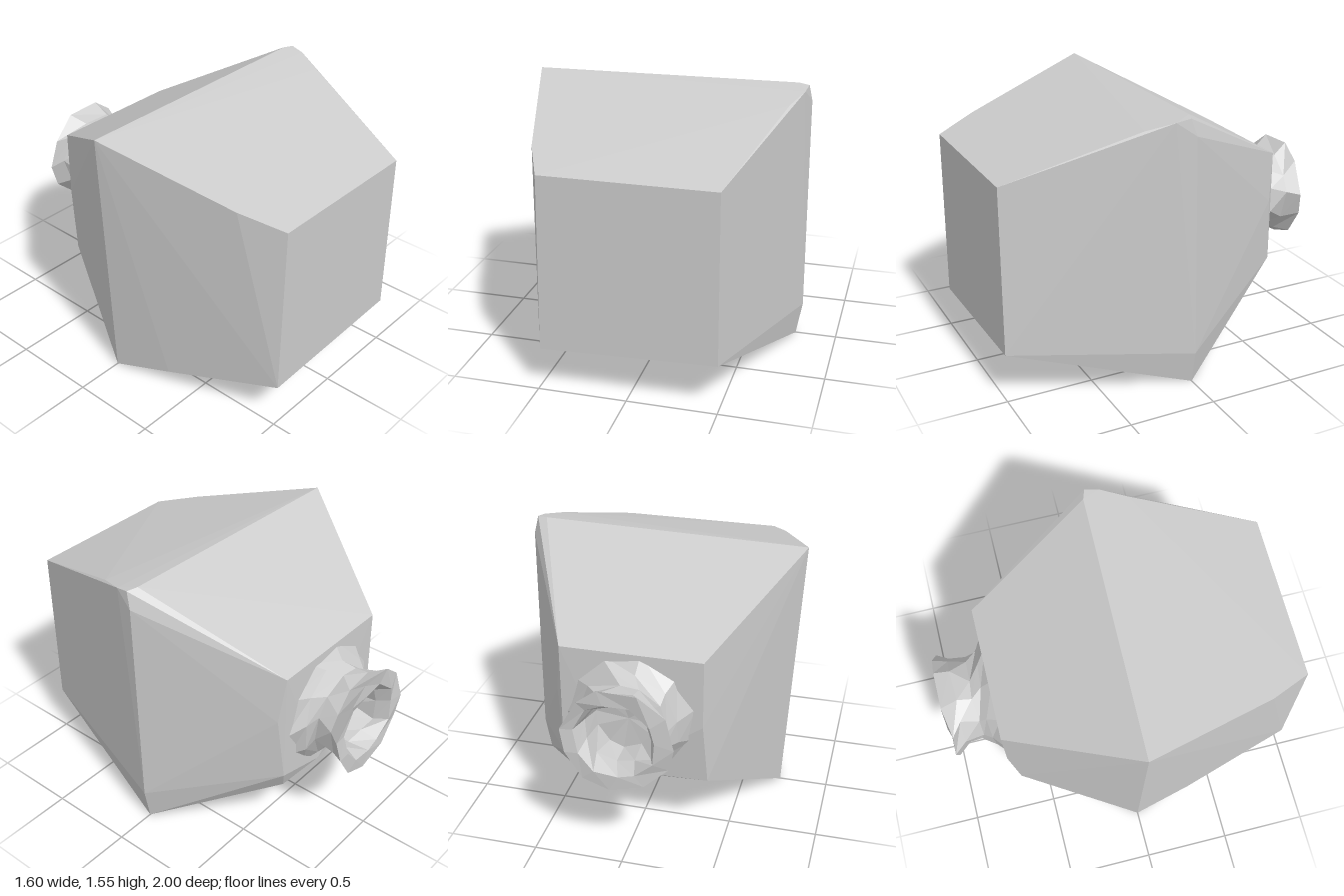
import * as THREE from 'three';
import { ConvexGeometry } from 'three/addons/geometries/ConvexGeometry.js';

const points = (list) => list.map(([x, y, z]) => new THREE.Vector3(x, y, z));

// Flat-shaded loft through closed rings of equal length, closed by a centre point.
function loft(rings, end) {
  const n = rings[0].length, pos = [];
  const tri = (...p) => p.forEach((v) => pos.push(v.x, v.y, v.z));
  for (let r = 0; r < rings.length - 1; r++) {
    for (let i = 0; i < n; i++) {
      const j = (i + 1) % n, a = rings[r], b = rings[r + 1];
      tri(a[i], b[j], b[i]);
      tri(a[i], a[j], b[j]);
    }
  }
  const last = rings[rings.length - 1];
  for (let i = 0; i < n; i++) tri(last[i], last[(i + 1) % n], end);
  const g = new THREE.BufferGeometry();
  g.setAttribute('position', new THREE.Float32BufferAttribute(pos, 3));
  g.computeVertexNormals();
  return g;
}

export function createModel() {
  const group = new THREE.Group();
  const material = new THREE.MeshStandardMaterial({
    color: 0xcccccc, flatShading: true, side: THREE.DoubleSide,
  });
  const add = (name, geometry) => {
    const mesh = new THREE.Mesh(geometry, material);
    mesh.name = name;
    group.add(mesh);
  };

  // Faceted block body: square front, wide middle, smaller back
  add('body', new ConvexGeometry(points([
    // front square
    [-0.46, 1.25, 1], [0.5, 1.25, 1], [0.5, 0.29, 1], [-0.48, 0.255, 1],
    // chipped edges behind the front
    [-0.57, 1.32, 0.76], [0.71, 1.5, 0.28], [-0.65, 0.1, 0.35], [0.77, 1.54, 0.13],
    // widest section
    [-0.8, 1.54, 0], [0.78, 1.555, 0.05], [0.72, 1.56, 0.03], [0.795, 1.46, 0.02],
    [0.795, 0.2, 0], [0.76, 0.005, 0], [-0.72, 0.005, 0],
    // back plate
    [-0.38, 1.14, -0.71], [0.41, 1.14, -0.71], [0.44, 0.86, -0.68], [0.41, 0.48, -0.71],
    [0.36, 0.36, -0.67], [0.1, 0.41, -0.72], [-0.38, 0.75, -0.71], [-0.4, 0.38, -0.66],
  ])));

  // Crumpled hollow neck: [radius, z, roughness, twist] along outside, lip and inside
  let seed = 7;
  const rand = () => (seed = (seed * 16807) % 2147483647) / 2147483647 - 0.5;
  const sides = 11;
  const profile = [
    [0.37, -0.69, 0.03, 0], [0.29, -0.76, 0.04, 0.1], [0.245, -0.82, 0.04, 0.25],
    [0.26, -0.91, 0.03, 0.1], [0.3, -0.99, 0.04, 0.2], [0.22, -0.995, 0.04, 0.2],
    [0.19, -0.9, 0.05, 0.35], [0.17, -0.76, 0.04, 0.2],
  ];
  const rings = profile.map(([radius, z, rough, twist]) =>
    Array.from({ length: sides }, (_, i) => {
      const a = ((i + rand() * 0.35) / sides) * Math.PI * 2 + twist;
      const r = radius + rand() * rough;
      return new THREE.Vector3(
        0.02 + r * Math.cos(a), 0.77 + r * Math.sin(a), Math.max(-1, z + rand() * rough * 0.7));
    }));
  add('neck', loft(rings, new THREE.Vector3(0.02, 0.77, -0.74)));

  return group;
}
